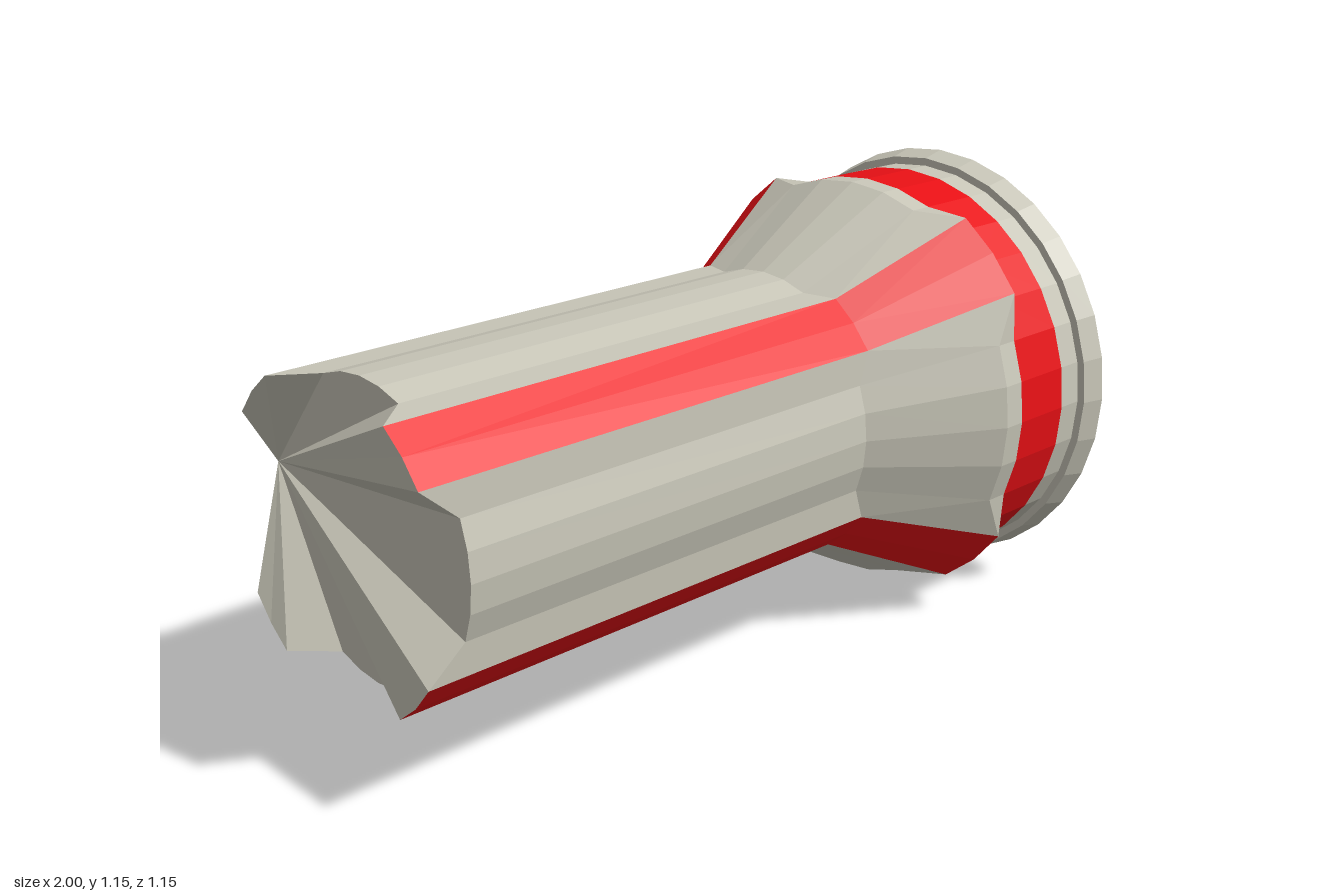
import * as THREE from 'three';

const N = 32;          // sides around the x axis
const AXIS_Y = 0.577;  // height of the axis
const isFin = (i) => i % 8 >= 3 && i % 8 <= 5;        // vertices lifted into the four diagonal ridges
const isStripe = (i) => i % 8 === 3 || i % 8 === 4;   // faces on top of a ridge

const material = (color) =>
  new THREE.MeshStandardMaterial({ color, flatShading: true, side: THREE.DoubleSide });

// A ring is [x, r] or [x, r, ridgeX, ridgeR]
function point([x, r, fx = x, fr = r], i) {
  const k = i % N, a = (k / N) * Math.PI * 2;
  const [px, pr] = isFin(k) ? [fx, fr] : [x, r];
  return [px, AXIS_Y + pr * Math.sin(a), pr * Math.cos(a)];
}

function makeMesh(name, triangles, mat) {
  const geo = new THREE.BufferGeometry();
  geo.setAttribute('position', new THREE.Float32BufferAttribute(triangles.flat(), 3));
  geo.computeVertexNormals();
  const mesh = new THREE.Mesh(geo, mat);
  mesh.name = name;
  return mesh;
}

// Skin successive rings, keeping only the faces the filter accepts
function skin(rings, accept = () => true) {
  const out = [];
  for (let j = 0; j < rings.length - 1; j++) {
    for (let i = 0; i < N; i++) {
      if (!accept(i)) continue;
      const a = point(rings[j], i), b = point(rings[j + 1], i);
      const c = point(rings[j + 1], i + 1), d = point(rings[j], i + 1);
      // diagonals mirror about each ridge
      if (i % 8 >= 4) out.push(a, b, c, a, c, d);
      else out.push(a, b, d, b, c, d);
    }
  }
  return out;
}

export function createModel() {
  const group = new THREE.Group();
  const shell = material(0xc8c6b8);
  const red = material(0xe81015);
  const lining = material(0xaaaaa4);
  const floor = material(0x9e9e9e);

  // Ridged tube flaring out to the collar
  const tube = [
    [-0.905, 0.36, -1, 0.395],
    [0.31, 0.36, 0.34, 0.395],
    [0.64, 0.54, 0.70, 0.59],
    [0.70, 0.54],
  ];
  group.add(makeMesh('tubeBody', skin(tube, (i) => !isStripe(i)), shell));
  group.add(makeMesh('ridgeStripes', skin(tube, isStripe), red));

  // Closed rear end, fanned from one vertex on the back side
  const cap = [];
  for (let k = 1; k < N - 1; k++) {
    cap.push(point(tube[0], 15), point(tube[0], 15 + k), point(tube[0], 16 + k));
  }
  group.add(makeMesh('rearCap', cap, shell));

  // Collar, flange and rim
  group.add(makeMesh('collarBand', skin([[0.70, 0.54], [0.87, 0.54]]), red));
  group.add(makeMesh('collarRim',
    skin([[0.87, 0.54], [0.94, 0.54], [0.94, 0.56], [1, 0.575], [1, 0.52]]), shell));

  // Hollow mouth with a shallow dished floor and a small recessed centre
  group.add(makeMesh('mouthWall', skin([[1, 0.52], [0.57, 0.363]]), lining));
  group.add(makeMesh('mouthFloor',
    skin([[0.57, 0.363], [0.47, 0.088], [0.44, 0.081], [0.44, 0]]), floor));

  return group;
}
